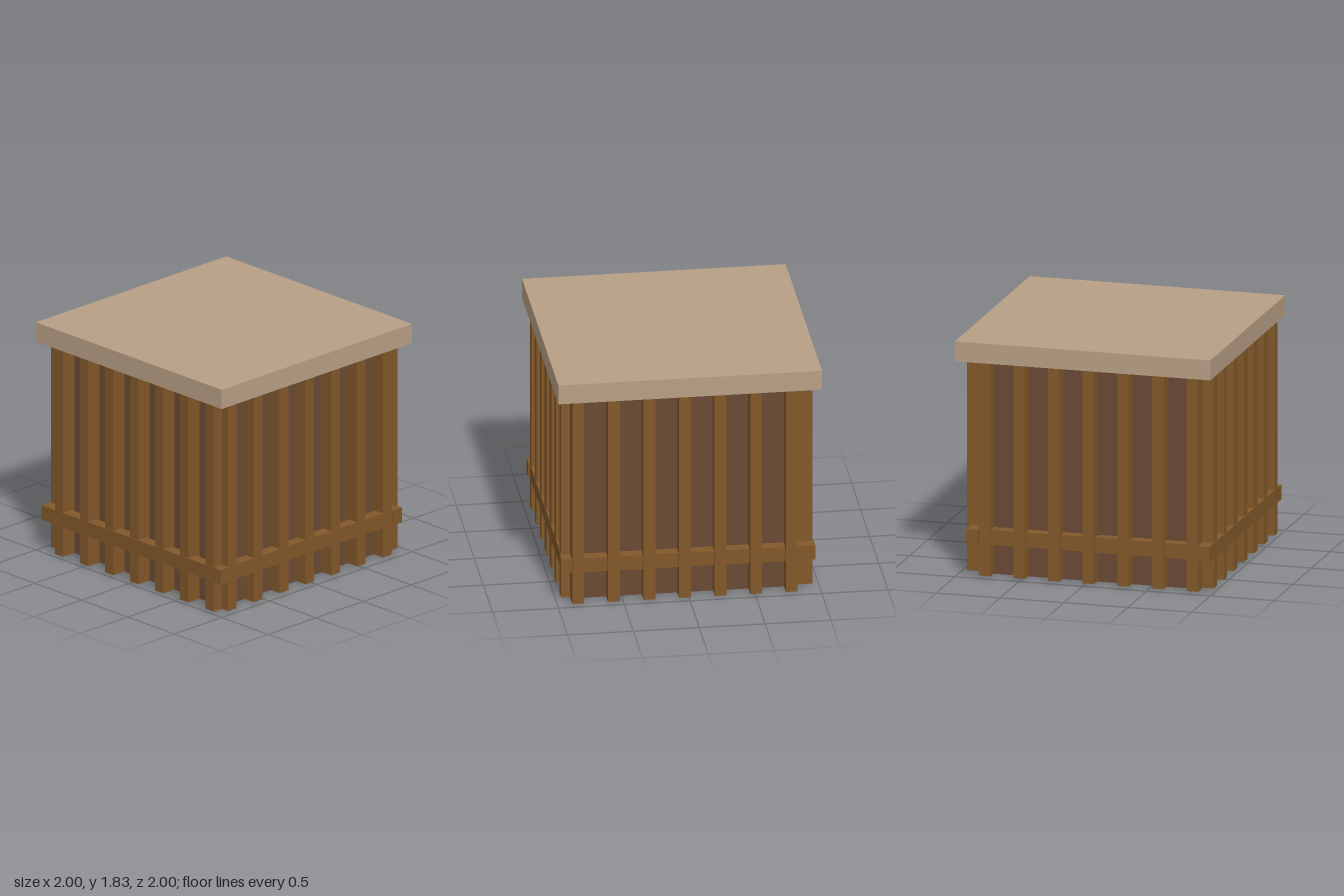
import * as THREE from 'three';

export function createModel() {
  const model = new THREE.Group();
  model.name = 'slattedCrate';

  const material = (name, color) => {
    const m = new THREE.MeshStandardMaterial({ color });
    m.name = name;
    return m;
  };
  const lidTan = material('lidTan', 0xb79f85);
  const slatBrown = material('slatBrown', 0x82582a);
  const coreBrown = material('coreBrown', 0x6a4a35);

  // Box given by its lower and upper corners
  const block = (name, mat, [x0, y0, z0], [x1, y1, z1], parent = model) => {
    const mesh = new THREE.Mesh(new THREE.BoxGeometry(x1 - x0, y1 - y0, z1 - z0), mat);
    mesh.position.set((x0 + x1) / 2, (y0 + y1) / 2, (z0 + z1) / 2);
    mesh.name = name;
    parent.add(mesh);
  };

  // Inner box and flat lid
  block('core', coreBrown, [-0.84, 0, -0.832], [0.832, 1.675, 0.84]);
  block('lid', lidTan, [-1, 1.675, -1], [1, 1.83, 1]);

  // Seven upright slats on each side
  const slats = new THREE.Group();
  slats.name = 'slats';
  model.add(slats);
  const low = 0.01, high = 1.675, width = 0.09, pitch = 0.27;
  for (let i = 0; i < 7; i++) {
    const x = -0.889 + i * pitch * 1.004;
    const z = -0.822 + i * pitch;
    block('frontSlat', slatBrown, [x, low, 0.84], [x + width, high, 0.955], slats);
    block('backSlat', slatBrown, [x, low, -0.95], [x + width, high, -0.835], slats);
    block('leftSlat', slatBrown, [0.84, low, z], [0.957, high, z + width], slats);
    block('rightSlat', slatBrown, [-0.975, low, z], [-0.858, high, z + width], slats);
  }

  // Horizontal rails tying the slats together
  const rails = new THREE.Group();
  rails.name = 'rails';
  model.add(rails);
  const y0 = 0.25, y1 = 0.365;
  block('frontRail', slatBrown, [-0.89, y0, 0.87], [0.835, y1, 0.958], rails);
  block('backRail', slatBrown, [-0.89, y0, -0.925], [0.835, y1, -0.835], rails);
  block('leftRail', slatBrown, [0.835, y0, -0.96], [0.925, y1, 0.968], rails);
  block('rightRail', slatBrown, [-0.98, y0, -0.96], [-0.89, y1, 0.968], rails);

  return model;
}
